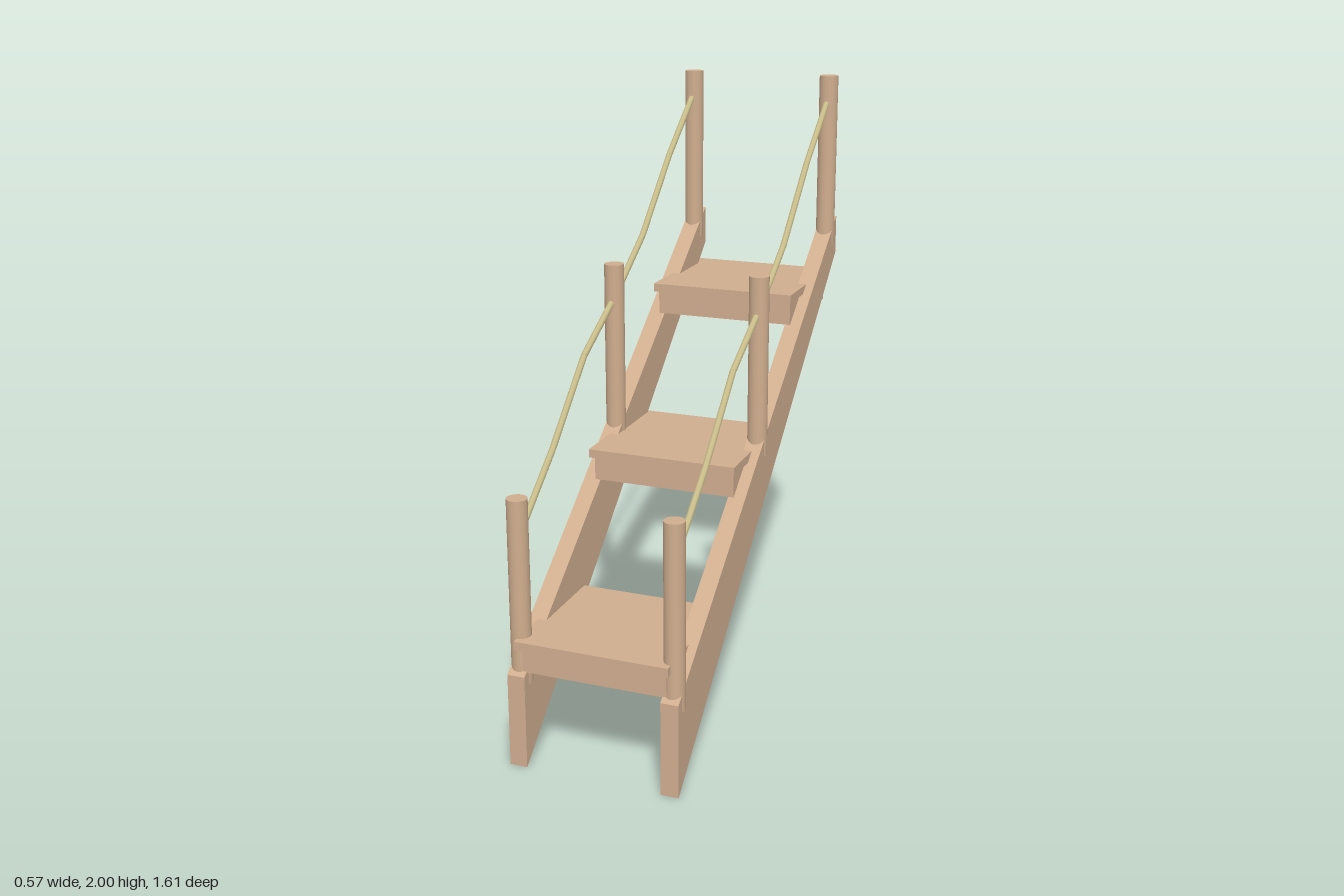
import * as THREE from 'three';

export function createModel() {
  const wood = new THREE.MeshStandardMaterial({ color: 0xd0ae8f });
  wood.name = 'wood';
  const hemp = new THREE.MeshStandardMaterial({ color: 0xc9bd8a });
  hemp.name = 'rope';

  const group = new THREE.Group();
  group.name = 'staircase';
  const add = (geometry, material, name, x = 0, y = 0, z = 0) => {
    const mesh = new THREE.Mesh(geometry, material);
    mesh.name = name;
    mesh.position.set(x, y, z);
    group.add(mesh);
    return mesh;
  };

  // Sloping side board, drawn as z against y, then turned to face sideways
  const profile = new THREE.Shape([
    [0.795, 0.003], [0.795, 0.312], [-0.792, 1.495], [-0.792, 1.362],
  ].map(([z, y]) => new THREE.Vector2(z, y)));
  const thickness = 0.058;
  const board = new THREE.ExtrudeGeometry(profile, { depth: thickness, bevelEnabled: false });
  board.rotateY(-Math.PI / 2);
  board.translate(thickness / 2, 0, 0);

  // Slack handrail rope points as [z, y]
  const ropePath = [
    [0.75, 0.75], [0.5, 0.95], [0.25, 1.19], [0, 1.326],
    [-0.25, 1.49], [-0.5, 1.73], [-0.75, 1.925],
  ];

  for (const [side, label] of [[1, 'left'], [-1, 'right']]) {
    const x = side * 0.253;
    add(board, wood, `${label}Stringer`, x);

    // Round posts
    for (let i = 0; i < 3; i++) {
      add(new THREE.CylinderGeometry(0.033, 0.033, 0.604, 16), wood,
        `${label}Post${i + 1}`, x, 0.578 + i * 0.56, 0.75 - i * 0.75);
    }

    // Rope spans
    for (let i = 0; i < ropePath.length - 1; i++) {
      const a = new THREE.Vector3(x, ropePath[i][1], ropePath[i][0]);
      const b = new THREE.Vector3(x, ropePath[i + 1][1], ropePath[i + 1][0]);
      const direction = b.clone().sub(a);
      const span = add(new THREE.CylinderGeometry(0.011, 0.011, direction.length() + 0.004, 8),
        hemp, `${label}Rope${i + 1}`);
      span.position.copy(a).lerp(b, 0.5);
      span.quaternion.setFromUnitVectors(new THREE.Vector3(0, 1, 0), direction.normalize());
    }
  }

  // Steps: an overhanging tread on a thicker block
  for (let i = 0; i < 3; i++) {
    const y = i * 0.432;
    const z = 0.575 - i * 0.575;
    add(new THREE.BoxGeometry(0.505, 0.028, 0.458), wood, `tread${i + 1}`, 0, 0.419 + y, z);
    add(new THREE.BoxGeometry(0.485, 0.084, 0.41), wood, `stepBlock${i + 1}`, 0, 0.364 + y, z - 0.002);
  }

  return group;
}
